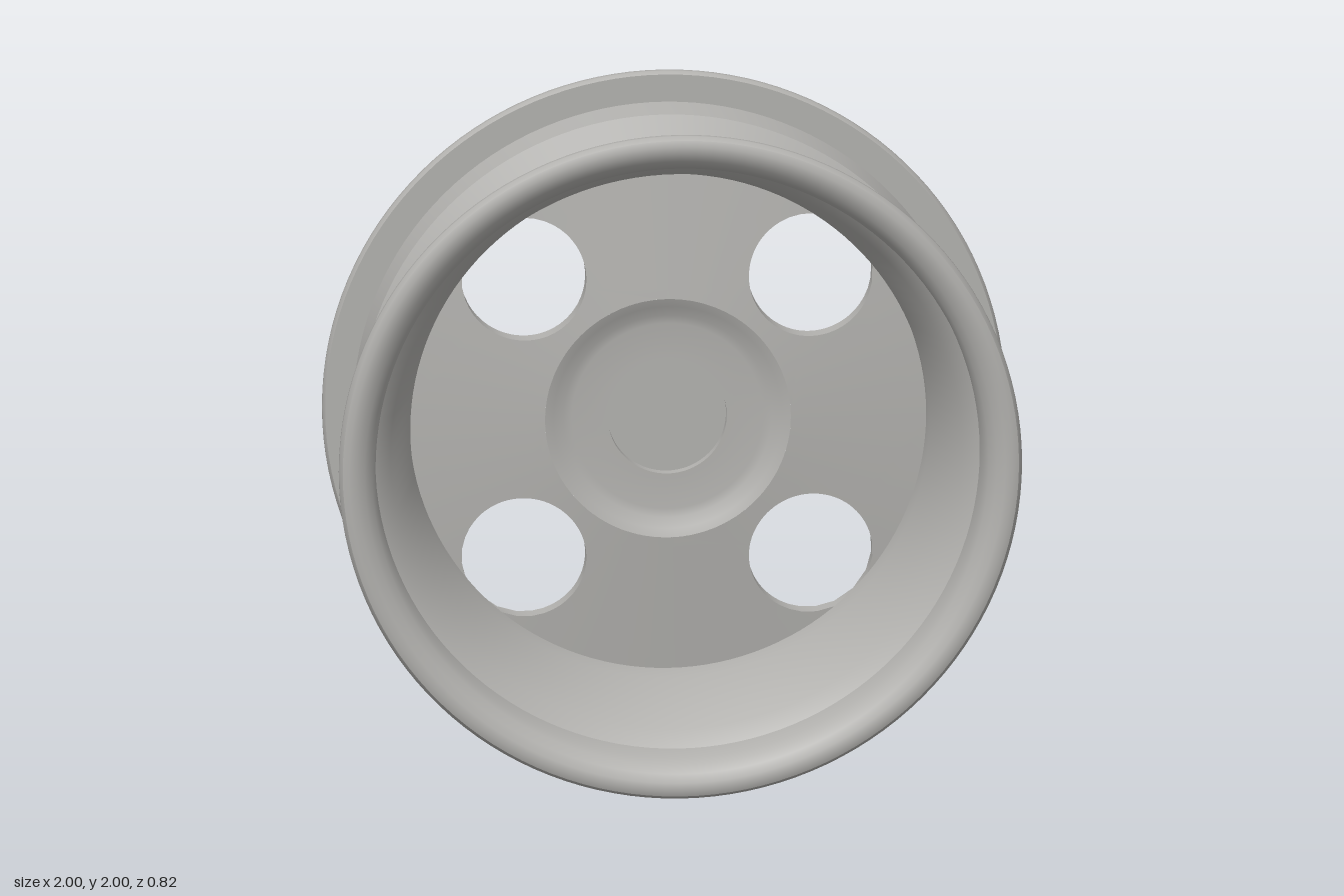
import * as THREE from 'three';
import { toCreasedNormals } from 'three/addons/utils/BufferGeometryUtils.js';

const metal = new THREE.MeshStandardMaterial({ color: 0xb2b1ae });
metal.name = 'grey metal';

function add(parent, name, geometry) {
  const mesh = new THREE.Mesh(geometry, metal);
  mesh.name = name;
  parent.add(mesh);
  return mesh;
}

// Turned part around the z axis, profile given as [radius, z]
function turned(profile, segments = 96, crease = 0.6) {
  const g = new THREE.LatheGeometry(profile.map(([r, z]) => new THREE.Vector2(r, z)), segments);
  g.rotateX(Math.PI / 2);
  return toCreasedNormals(g, crease);
}

const INNER = 0.36, OUTER = 0.8, THICK = 0.06;
const HOLE_AT = 0.594, HOLE_R = 0.182;
const discBack = (r) => -0.243 - (r - INNER) * 0.11;

// Slightly dished disc: four sectors, each wrapped around one round hole
function discGeometry() {
  const positions = [], index = [];
  const side = 16, steps = 6, cols = side * 4;
  const half = Math.PI / 4;
  for (let k = 0; k < 4; k++) {
    const mid = half + k * 2 * half;
    const outline = [], hole = [];
    for (let i = 0; i <= cols; i++) {
      const edge = Math.floor(i / side) % 4, t = (i % side) / side;
      const u = [1, 1 - t, 0, t][edge];
      const v = [t, 1, 1 - t, 0][edge];
      const r = INNER + (OUTER - INNER) * u, a = (v * 2 - 1) * half;
      outline.push([r * Math.cos(a), r * Math.sin(a)]);
      const b = Math.atan2(r * Math.sin(a), r * Math.cos(a) - HOLE_AT);
      hole.push([HOLE_AT + HOLE_R * Math.cos(b), HOLE_R * Math.sin(b)]);
    }
    const base = positions.length / 3;
    const rows = 2 * (steps + 1);
    for (let j = 0; j < rows; j++) {
      const front = j > steps;
      const s = front ? (j - steps - 1) / steps : 1 - j / steps;
      for (let i = 0; i <= cols; i++) {
        const x = hole[i][0] + (outline[i][0] - hole[i][0]) * s;
        const y = hole[i][1] + (outline[i][1] - hole[i][1]) * s;
        const z = discBack(Math.hypot(x, y)) + (front ? THICK : 0);
        positions.push(x * Math.cos(mid) - y * Math.sin(mid), x * Math.sin(mid) + y * Math.cos(mid), z);
      }
    }
    const w = cols + 1;
    for (let j = 0; j < rows - 1; j++) {
      for (let i = 0; i < cols; i++) {
        const a = base + j * w + i, b = a + w;
        index.push(a, b, b + 1, a, b + 1, a + 1);
      }
    }
  }
  const g = new THREE.BufferGeometry();
  g.setAttribute('position', new THREE.Float32BufferAttribute(positions, 3));
  g.setIndex(index);
  g.computeVertexNormals();
  return toCreasedNormals(g, 0.6);
}

export function createModel() {
  const model = new THREE.Group();
  model.name = 'wheelRim';
  const wheel = new THREE.Group();
  wheel.name = 'wheel';
  wheel.position.y = 1;
  model.add(wheel);

  // Barrel with rolled flanges: outer lip, outside, inner flange, inside
  add(wheel, 'barrel', turned([
    [0.795, -0.29], [0.84, -0.302], [0.875, -0.325], [0.9, -0.36], [0.925, -0.39],
    [0.95, -0.405], [0.972, -0.41], [0.99, -0.403], [1, -0.388], [1, -0.372], [0.992, -0.36],
    [0.91, -0.36], [0.9, -0.25], [0.77, -0.19], [0.77, -0.1], [0.845, 0.2], [0.9, 0.25], [0.91, 0.36],
    [0.992, 0.36], [1, 0.372], [1, 0.388], [0.99, 0.403], [0.972, 0.41], [0.95, 0.406],
    [0.925, 0.394], [0.903, 0.37], [0.89, 0.34], [0.885, 0.25], [0.838, 0.205],
    [0.76, -0.1], [0.757, -0.195], [0.8, -0.235],
  ], 128));

  add(wheel, 'disc', discGeometry());

  // Raised hub with a round pocket on the inside
  add(wheel, 'hub', turned([
    [0, -0.276], [0.26, -0.276], [0.295, -0.271], [0.33, -0.253], [INNER, -0.243],
  ]));
  add(wheel, 'hubInside', turned([
    [INNER, -0.183], [0.335, -0.192], [0.305, -0.207], [0.28, -0.211],
    [0.174, -0.211], [0.174, -0.245], [0, -0.245],
  ]));

  // Domed centre cap
  add(wheel, 'centreCap', turned([
    [0, -0.315], [0.05, -0.313], [0.1, -0.306], [0.14, -0.296], [0.165, -0.284], [0.174, -0.27],
  ], 64));

  // Four hexagonal bolts with round heads
  for (const x of [-1, 1]) {
    for (const y of [-1, 1]) {
      const bolt = new THREE.Group();
      bolt.name = 'bolt';
      bolt.position.set(x * 0.183, y * 0.183, 0);
      const hex = new THREE.CylinderGeometry(0.054, 0.054, 0.045, 6);
      hex.rotateX(-Math.PI / 2);
      hex.translate(0, 0, -0.2925);
      add(bolt, 'boltHex', toCreasedNormals(hex, 0.5));
      const dome = new THREE.SphereGeometry(0.044, 24, 10, 0, Math.PI * 2, 0, Math.PI / 2);
      dome.rotateX(-Math.PI / 2);
      dome.translate(0, 0, -0.313);
      add(bolt, 'boltHead', dome);
      wheel.add(bolt);
    }
  }

  // Valve stem through the lip
  const from = new THREE.Vector3(-0.12, -0.82, -0.205);
  const to = new THREE.Vector3(-0.13, -0.885, -0.38);
  const valve = add(wheel, 'valveStem', new THREE.CylinderGeometry(0.013, 0.02, from.distanceTo(to), 12));
  valve.position.copy(from).lerp(to, 0.5);
  valve.quaternion.setFromUnitVectors(new THREE.Vector3(0, 1, 0), to.clone().sub(from).normalize());
  return model;
}
